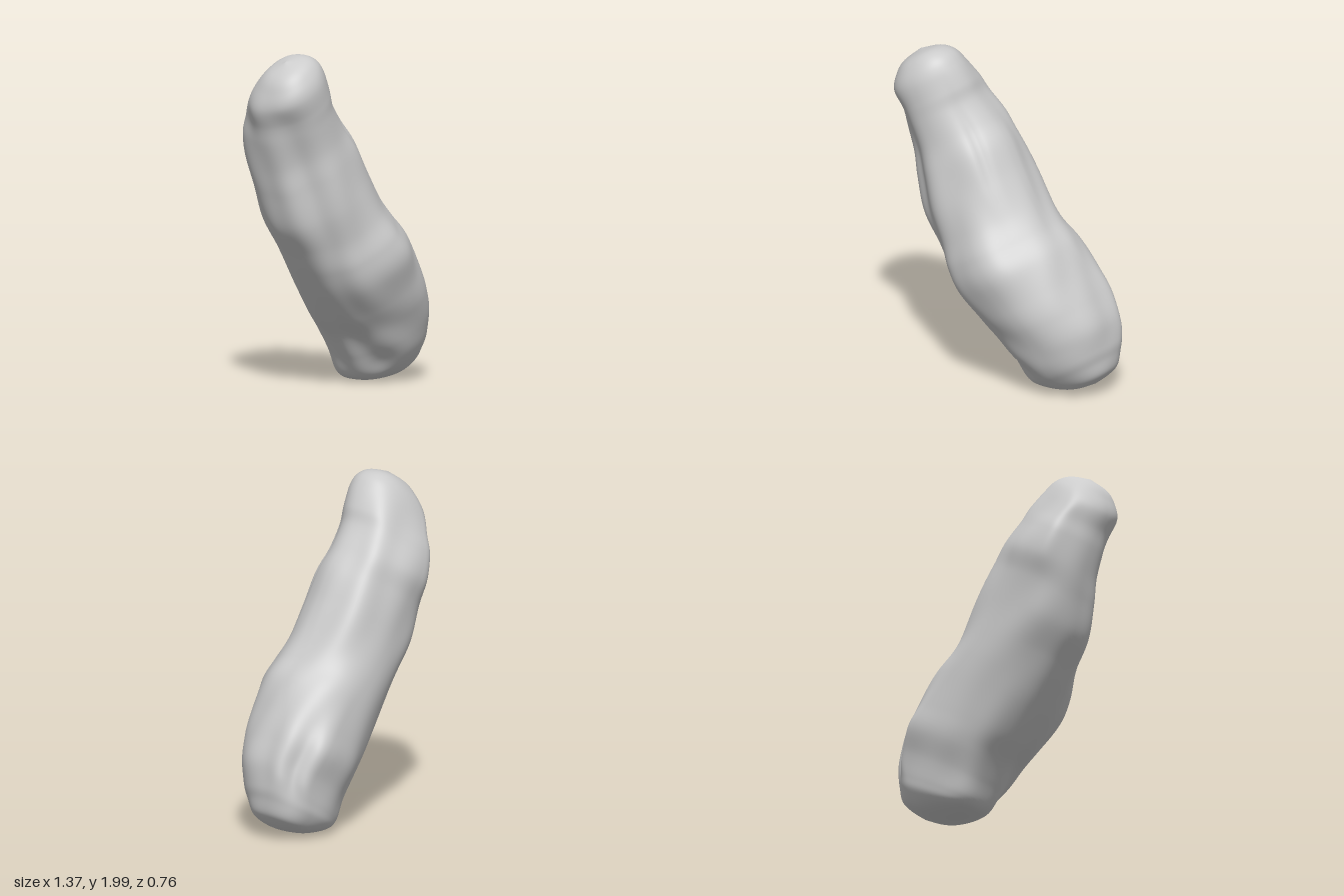
import * as THREE from 'three';
import { mergeVertices } from 'three/addons/utils/BufferGeometryUtils.js';

// Stations along the leaning axis, square to it:
// [distance, left edge, right edge, back z, front z]
const STATIONS = [
  [-1.115, 0.07, 0.07, -0.1, -0.1],
  [-1.1, -0.02, 0.15, -0.2, 0.0],
  [-1.07, -0.11, 0.215, -0.27, 0.07],
  [-1.0, -0.235, 0.265, -0.32, 0.14],
  [-0.93, -0.287, 0.31, -0.335, 0.19],
  [-0.8, -0.285, 0.36, -0.35, 0.25],
  [-0.65, -0.29, 0.372, -0.38, 0.29],
  [-0.5, -0.327, 0.368, -0.37, 0.325],
  [-0.3, -0.358, 0.352, -0.355, 0.375],
  [-0.15, -0.37, 0.31, -0.34, 0.36],
  [0, -0.38, 0.288, -0.325, 0.315],
  [0.2, -0.4, 0.28, -0.31, 0.29],
  [0.4, -0.358, 0.285, -0.305, 0.265],
  [0.55, -0.315, 0.263, -0.32, 0.24],
  [0.7, -0.272, 0.24, -0.28, 0.235],
  [0.8, -0.24, 0.25, -0.235, 0.24],
  [0.92, -0.218, 0.245, -0.175, 0.245],
  [1.0, -0.152, 0.222, -0.12, 0.215],
  [1.055, -0.075, 0.16, -0.05, 0.16],
  [1.085, 0.05, 0.05, 0.06, 0.06],
];
const ORIGIN = new THREE.Vector3(-0.05, 1, 0);
const LEAN = Math.atan2(0.4875, 0.873);

// Broad swells and hollows: [angle in eighths of a turn, distance, angular width, length, height]
const SWELLS = [
  [3, 0.4, 0.4, 0.35, -0.04], // hollow along the upper front left
  [3, -0.95, 0.5, 0.2, -0.04], // chamfer at the front left of the foot
  [1, -0.2, 0.4, 0.4, -0.03], // flat on the lower front right
  [7, 0.2, 0.45, 0.25, 0.03], // shoulder on the back right
  [7, -0.75, 0.4, 0.22, -0.035], // hollow at the back right of the foot
  [0.9, 0.4, 0.13, 0.25, -0.015], // ledge down the upper front right
];

// Fine long furrows
function relief(w, s, z) {
  const a = w + 0.06 * Math.sin(3 * s + 5 * z + 1);
  const b = z + 0.06 * Math.sin(3.6 * s - 4 * w + 2);
  return 0.006 * Math.sin(17 * a + 2 * s + 0.7) * Math.cos(15 * b - 2.5 * s)
    + 0.004 * Math.sin(26 * b + 4 * s + 11 * a + 1.9);
}

function buildRock() {
  const RINGS = 168, SIDES = 120;
  const { lerp, smoothstep } = THREE.MathUtils;
  const curve = (i, j) => new THREE.CatmullRomCurve3(
    STATIONS.map((p) => new THREE.Vector3(p[i], p[0], p[j])), false, 'catmullrom');
  const across = curve(1, 2), deep = curve(3, 4);
  const round = (v) => Math.sign(v) * Math.abs(v) ** 0.88;
  const positions = [], index = [], point = new THREE.Vector3();
  const zAxis = new THREE.Vector3(0, 0, 1);

  for (let r = 0; r <= RINGS; r++) {
    const a = across.getPoint(r / RINGS), b = deep.getPoint(r / RINGS), s = a.y;
    const cw = (a.x + a.z) / 2, rw = (a.z - a.x) / 2;
    const cz = (b.x + b.z) / 2, rz = (b.z - b.x) / 2;
    const fade = smoothstep(1.1 - Math.abs(s), 0, 0.25);
    const low = 1 - smoothstep(s, -0.7, 0.1);
    // The crest of the back wanders from right at the foot to left at the top
    const crest = lerp(0.13, -0.1, smoothstep(s, -0.7, 0.6)) * fade;
    for (let k = 0; k < SIDES; k++) {
      const t = (k / SIDES) * Math.PI * 2, c = Math.cos(t), n = Math.sin(t);
      let w = cw + rw * round(c), z = cz + rz * round(n);
      w += crest * Math.max(0, -n) ** 2 * (1 - Math.abs(c));
      z -= 0.1 * low * fade * Math.max(0, c) ** 2 * (1 - Math.abs(n));
      let d = relief(w, s, z);
      for (const [eighth, at, width, length, height] of SWELLS) {
        const angle = (t - (eighth * Math.PI) / 4) / width;
        d += height * Math.exp(-(angle ** 2) - ((s - at) / length) ** 2);
      }
      d *= fade;
      point.set(w + c * d, s, z + n * d).applyAxisAngle(zAxis, LEAN).add(ORIGIN);
      positions.push(point.x, Math.max(0, point.y), point.z);
    }
  }
  for (let r = 0; r < RINGS; r++) {
    for (let k = 0; k < SIDES; k++) {
      const e = (k + 1) % SIDES;
      const A = r * SIDES + k, B = r * SIDES + e, C = A + SIDES, D = B + SIDES;
      if (r < RINGS - 1) index.push(A, C, D);
      if (r > 0) index.push(A, D, B);
    }
  }
  let geometry = new THREE.BufferGeometry();
  geometry.setAttribute('position', new THREE.Float32BufferAttribute(positions, 3));
  geometry.setIndex(index);
  geometry = mergeVertices(geometry, 1e-5);
  geometry.computeVertexNormals();
  return geometry;
}

export function createModel() {
  const group = new THREE.Group();
  group.name = 'leaningRock';
  const rock = new THREE.Mesh(buildRock(), new THREE.MeshStandardMaterial({ color: 0xcccccc }));
  rock.name = 'rock';
  group.add(rock);
  return group;
}
